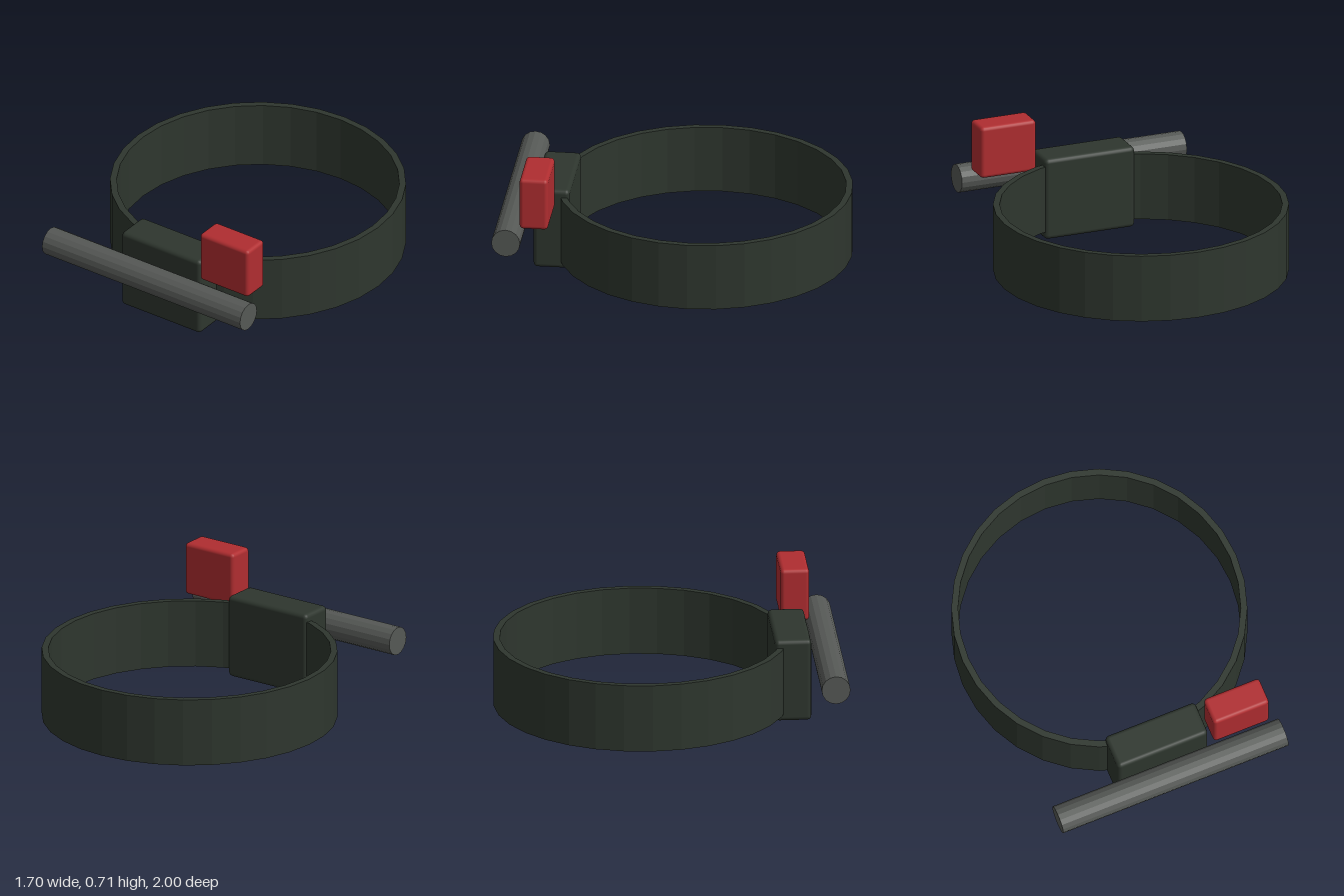
import * as THREE from 'three';
import { RoundedBoxGeometry } from 'three/addons/geometries/RoundedBoxGeometry.js';

// Give every face its own normal for a faceted look
function faceted(geometry) {
  const g = geometry.index ? geometry.toNonIndexed() : geometry;
  g.computeVertexNormals();
  return g;
}

export function createModel() {
  const group = new THREE.Group();
  const darkGreen = new THREE.MeshStandardMaterial({ color: 0x2e362e });
  const red = new THREE.MeshStandardMaterial({ color: 0xb02d30 });
  const grey = new THREE.MeshStandardMaterial({ color: 0x555855 });
  darkGreen.name = 'darkGreen';
  red.name = 'red';
  grey.name = 'grey';

  function add(name, geometry, material, x, y, z) {
    const mesh = new THREE.Mesh(geometry, material);
    mesh.name = name;
    mesh.position.set(x, y, z);
    group.add(mesh);
    return mesh;
  }

  // Head strap: a closed rectangular section swept round
  const outer = 0.85, inner = 0.812, half = 0.2;
  const section = [
    [outer, -half], [outer, half], [inner, half], [inner, -half], [outer, -half],
  ].map(([r, y]) => new THREE.Vector2(r, y));
  add('strap', faceted(new THREE.LatheGeometry(section, 32)), darkGreen, 0, 0.245, -0.15);

  // Housing on the front of the strap
  add('housing', new RoundedBoxGeometry(0.56, 0.49, 0.21, 2, 0.025), darkGreen, 0, 0.245, 0.705);

  // Block raised on the left
  add('sideBlock', new RoundedBoxGeometry(0.345, 0.312, 0.165, 2, 0.022), red, 0.473, 0.556, 0.763);

  // Horizontal bar across the front
  const bar = add('bar', faceted(new THREE.CylinderGeometry(0.083, 0.083, 1.4, 16)), grey, 0, 0.332, 0.917);
  bar.rotation.z = Math.PI / 2;

  return group;
}
